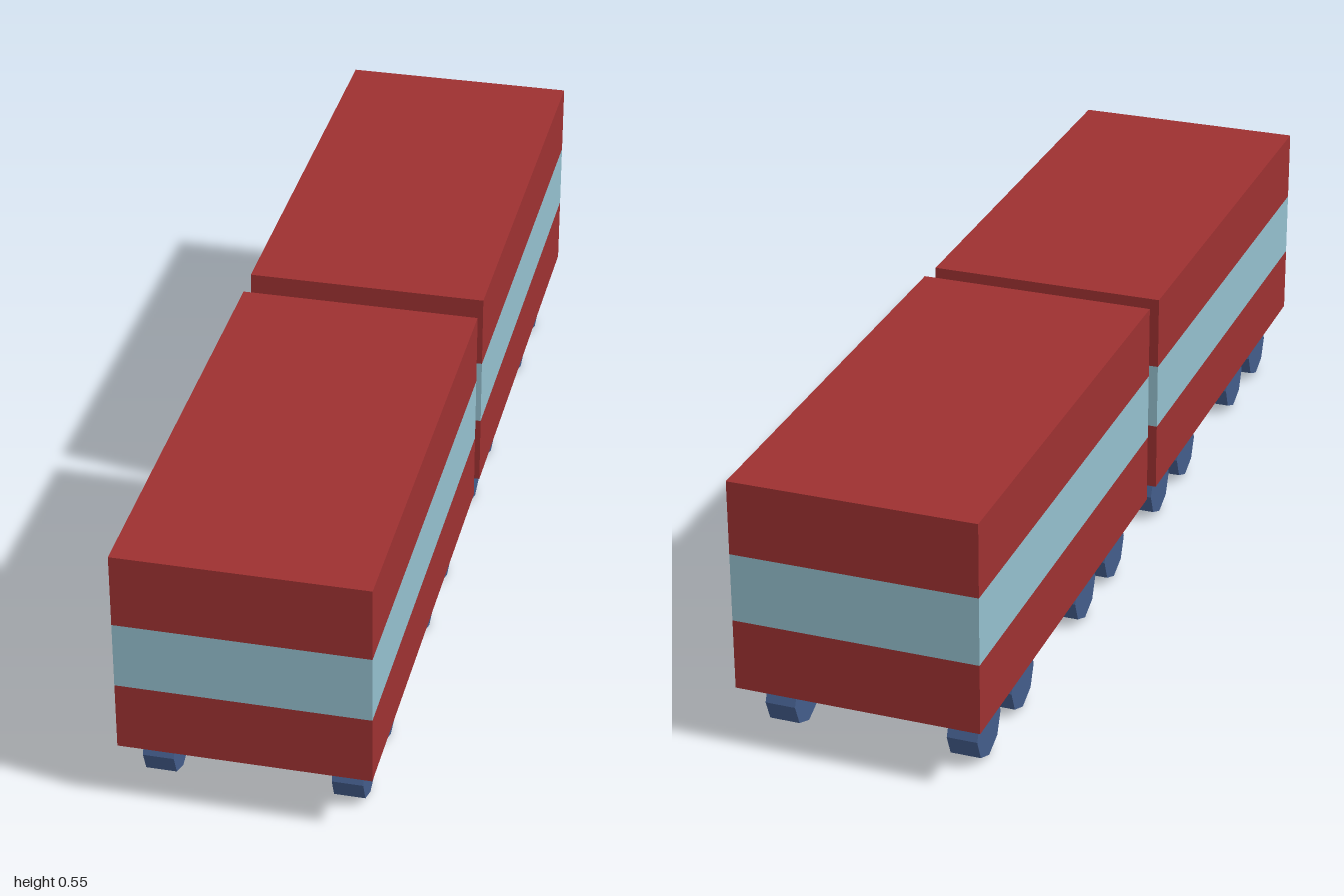
import * as THREE from 'three';

const paint = (color) => new THREE.MeshStandardMaterial({ color, flatShading: true });

export function createModel() {
  const red = paint(0x9d3131), glass = paint(0x94bfcd), blue = paint(0x435c8a);
  const model = new THREE.Group();
  model.name = 'train';

  function add(parent, name, geometry, material, x, y, z) {
    const mesh = new THREE.Mesh(geometry, material);
    mesh.name = name;
    mesh.position.set(x, y, z);
    parent.add(mesh);
  }

  // Octagonal wheel with its axle along x and a corner at the bottom
  const wheel = new THREE.CylinderGeometry(0.0615, 0.0615, 0.06, 8).rotateZ(Math.PI / 2);

  // A carriage: three flush layers (heights of their edges) on eight wheels
  function addCarriage(name, z, levels, axles) {
    const car = new THREE.Group();
    car.name = name;
    ['lowerBody', 'windowBand', 'upperBody'].forEach((part, i) => {
      const h = levels[i + 1] - levels[i];
      add(car, part, new THREE.BoxGeometry(0.484, h, 0.97), i === 1 ? glass : red, 0, levels[i] + h / 2, z);
    });
    for (const axle of axles) {
      add(car, 'leftWheel', wheel, blue, 0.182, 0.0615, axle);
      add(car, 'rightWheel', wheel, blue, -0.182, 0.0615, axle);
    }
    model.add(car);
  }

  addCarriage('frontCarriage', 0.515, [0.123, 0.262, 0.398, 0.547], [0.88, 0.699, 0.335, 0.154]);
  addCarriage('rearCarriage', -0.515, [0.123, 0.266, 0.404, 0.553], [-0.149, -0.33, -0.694, -0.876]);

  // Link between the carriages
  add(model, 'coupler', new THREE.BoxGeometry(0.057, 0.057, 0.06), blue, 0, 0.307, 0);

  return model;
}
